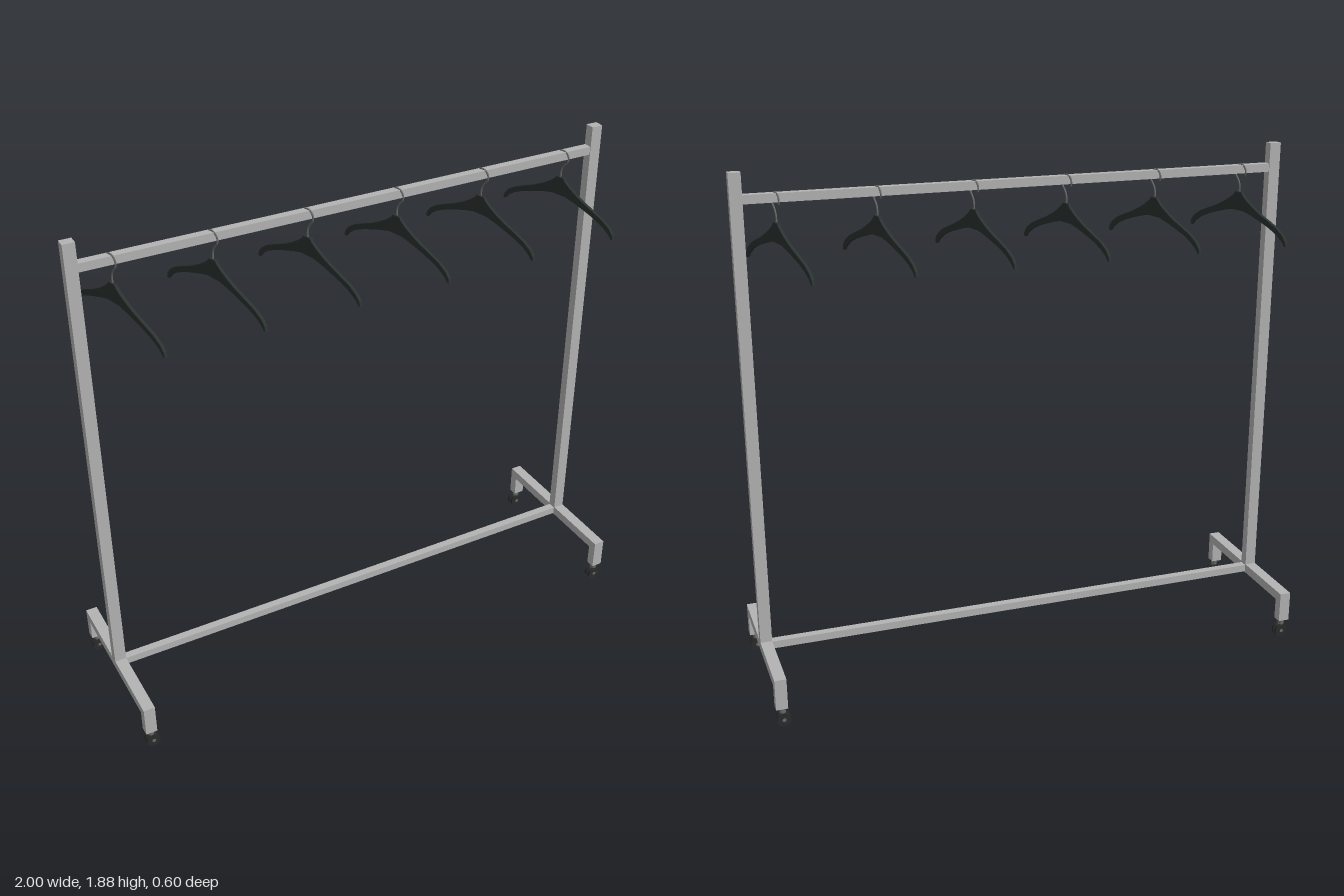
import * as THREE from 'three';

const metal = new THREE.MeshStandardMaterial({ color: 0xb2b3b2 });
metal.name = 'brushed metal';
const darkPlastic = new THREE.MeshStandardMaterial({ color: 0x2a3331 });
darkPlastic.name = 'dark hanger plastic';
const rubber = new THREE.MeshStandardMaterial({ color: 0x2b2b2b });
rubber.name = 'black rubber';
const steel = new THREE.MeshStandardMaterial({ color: 0x686a6a });
steel.name = 'dark steel';

function add(parent, name, geometry, material, x = 0, y = 0, z = 0) {
  const mesh = new THREE.Mesh(geometry, material);
  mesh.name = name;
  mesh.position.set(x, y, z);
  parent.add(mesh);
  return mesh;
}

const box = (w, h, d) => new THREE.BoxGeometry(w, h, d);

// Twin-wheel caster: axle along z, stem on top
function makeCaster() {
  const caster = new THREE.Group();
  caster.name = 'caster';
  for (const s of [-1, 1]) {
    const wheel = new THREE.CylinderGeometry(0.025, 0.025, 0.011, 24).rotateX(Math.PI / 2);
    add(caster, 'wheel', wheel, rubber, 0, 0.025, s * 0.0095);
  }
  add(caster, 'axle', new THREE.CylinderGeometry(0.007, 0.007, 0.032, 12).rotateX(Math.PI / 2), steel, 0, 0.025, 0);
  add(caster, 'fork', box(0.016, 0.035, 0.008), steel, 0, 0.04, 0);
  add(caster, 'stem', new THREE.CylinderGeometry(0.011, 0.011, 0.022, 16), steel, -0.004, 0.061, 0);
  return caster;
}

// End frame: upright, cross foot, two short legs and casters
function makeEndFrame() {
  const frame = new THREE.Group();
  frame.name = 'endFrame';
  const w = 0.042;
  add(frame, 'upright', box(w, 1.69, 0.035), metal, 0, 1.03, 0);
  add(frame, 'crossFoot', box(w, 0.035, 0.604), metal, 0, 0.1675, 0);
  for (const s of [-1, 1]) {
    add(frame, 'leg', box(w, 0.08, 0.035), metal, 0, 0.11, s * 0.2845);
    const caster = makeCaster();
    caster.position.set(0.006, 0, s * 0.2845);
    frame.add(caster);
  }
  return frame;
}

// Shoulder outline, drawn as one half and mirrored
function makeHangerGeometry() {
  const top = [[0.016, 1.703], [0.024, 1.692], [0.045, 1.676], [0.075, 1.658], [0.115, 1.638],
    [0.16, 1.62], [0.205, 1.601], [0.237, 1.58], [0.253, 1.56], [0.257, 1.543]];
  const bottom = [[0.247, 1.541], [0.235, 1.556], [0.205, 1.577], [0.165, 1.595],
    [0.12, 1.61], [0.07, 1.625], [0.03, 1.634]];
  const half = [...top, ...bottom];
  const mirrored = half.map(([x, y]) => [-x, y]).reverse();
  const shape = new THREE.Shape([...half, ...mirrored].map(([x, y]) => new THREE.Vector2(x, y)));
  const t = 0.008;
  return new THREE.ExtrudeGeometry(shape, {
    depth: t, bevelEnabled: true, bevelThickness: 0.002, bevelSize: 0.002, bevelOffset: -0.002, bevelSegments: 2,
  }).translate(0, 0, -t / 2);
}

// Hook passes over the rail, then bends back to the hanger centre
function makeHookGeometry() {
  const points = [];
  for (let a = 205; a >= -40; a -= 17.5) {
    const r = THREE.MathUtils.degToRad(a);
    points.push(new THREE.Vector3(0.028 * Math.cos(r), 1.777 + 0.026 * Math.sin(r), 0));
  }
  points.push(new THREE.Vector3(0.006, 1.741, 0), new THREE.Vector3(0, 1.724, 0), new THREE.Vector3(0, 1.698, 0));
  return new THREE.TubeGeometry(new THREE.CatmullRomCurve3(points), 48, 0.0032, 8);
}

export function createModel() {
  const rack = new THREE.Group();
  rack.name = 'clothesRack';

  // End frames, the right one mirrored by turning it round
  for (const s of [-1, 1]) {
    const frame = makeEndFrame();
    frame.position.x = s * 0.979;
    if (s > 0) frame.rotation.y = Math.PI;
    rack.add(frame);
  }

  // Long rails
  add(rack, 'hangingRail', box(1.916, 0.03, 0.03), metal, 0, 1.786, 0);
  add(rack, 'lowerRail', box(1.916, 0.028, 0.03), metal, 0, 0.167, 0);

  // Six evenly spaced hangers, all turned the same way
  const bodyGeometry = makeHangerGeometry();
  const hookGeometry = makeHookGeometry();
  for (let i = 0; i < 6; i++) {
    const hanger = new THREE.Group();
    hanger.name = 'hanger';
    add(hanger, 'hangerBody', bodyGeometry, darkPlastic);
    add(hanger, 'hangerHook', hookGeometry, steel);
    hanger.position.x = -0.85 + i * 0.34;
    hanger.rotation.y = -THREE.MathUtils.degToRad(75);
    rack.add(hanger);
  }
  return rack;
}
